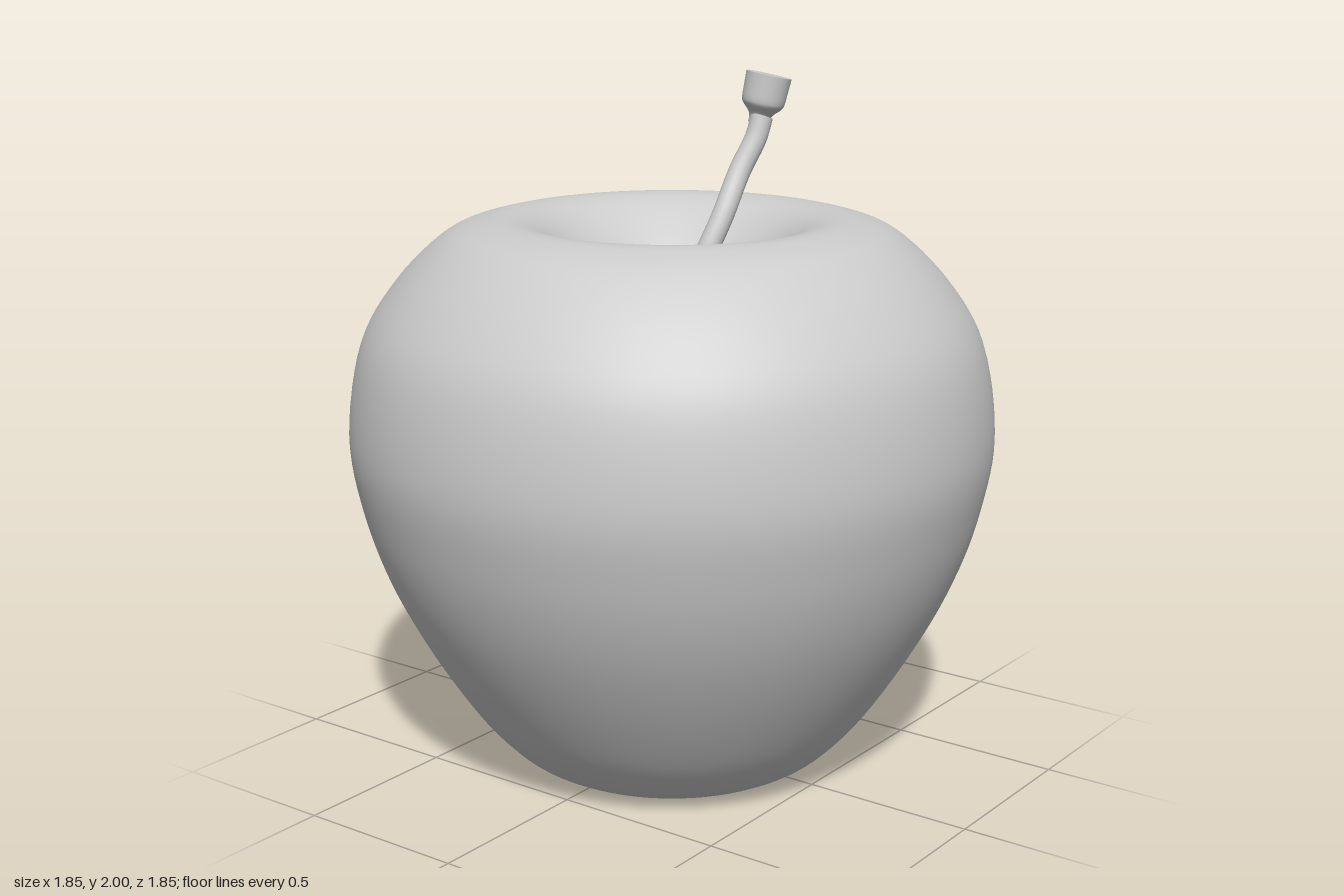
import * as THREE from 'three';

const material = new THREE.MeshStandardMaterial({ color: 0xcccccc });

function lathe(name, points, samples, segments) {
  const curve = new THREE.SplineCurve(points.map(([r, y]) => new THREE.Vector2(r, y)));
  const profile = curve.getPoints(samples).map((p) => new THREE.Vector2(Math.max(p.x, 0), p.y));
  const mesh = new THREE.Mesh(new THREE.LatheGeometry(profile, segments), material);
  mesh.name = name;
  return mesh;
}

export function createModel() {
  const model = new THREE.Group();
  model.name = 'apple';

  // Fruit: one closed profile with a hollow at the bottom and the top
  model.add(lathe('fruit', [
    [0, 0.2], [0.07, 0.187], [0.17, 0.118], [0.27, 0.035], [0.37, 0.001], [0.43, 0.018],
    [0.5, 0.07], [0.6, 0.186], [0.73, 0.39], [0.83, 0.59], [0.895, 0.79], [0.925, 1.0],
    [0.885, 1.25], [0.785, 1.42], [0.65, 1.55], [0.54, 1.593], [0.46, 1.6], [0.38, 1.575],
    [0.29, 1.51], [0.2, 1.428], [0.1, 1.365], [0.04, 1.351], [0, 1.35],
  ], 132, 96));

  // Stem: a bent tube rising out of the top hollow
  const path = new THREE.CatmullRomCurve3([
    [0.015, 1.37, 0.05], [0.04, 1.48, 0.08], [0.1, 1.6, 0.104], [0.175, 1.72, 0.11],
    [0.225, 1.81, 0.13], [0.245, 1.87, 0.137],
  ].map((p) => new THREE.Vector3(...p)));
  const stem = new THREE.Mesh(new THREE.TubeGeometry(path, 40, 0.032, 20), material);
  stem.name = 'stem';
  model.add(stem);

  // Rounded lower end of the stem
  const stemEnd = new THREE.Mesh(new THREE.SphereGeometry(0.032, 20, 12), material);
  stemEnd.name = 'stemEnd';
  stemEnd.position.copy(path.getPoint(0));
  model.add(stemEnd);

  // Flared tip, tilted along the end of the stem
  const tip = new THREE.Group();
  tip.name = 'stemTip';
  tip.add(lathe('tipCup', [
    [0.03, -0.14], [0.031, -0.12], [0.04, -0.106], [0.056, -0.09], [0.062, -0.075], [0.064, -0.04], [0.066, 0],
  ], 24, 28));
  const cap = new THREE.Mesh(new THREE.CircleGeometry(0.066, 28), material);
  cap.name = 'tipTop';
  cap.rotation.x = -Math.PI / 2;
  tip.add(cap);
  tip.position.set(0.267, 1.986, 0.145);
  tip.quaternion.setFromUnitVectors(
    new THREE.Vector3(0, 1, 0),
    new THREE.Vector3(0.16, 1, 0.15).normalize(),
  );
  model.add(tip);

  return model;
}
